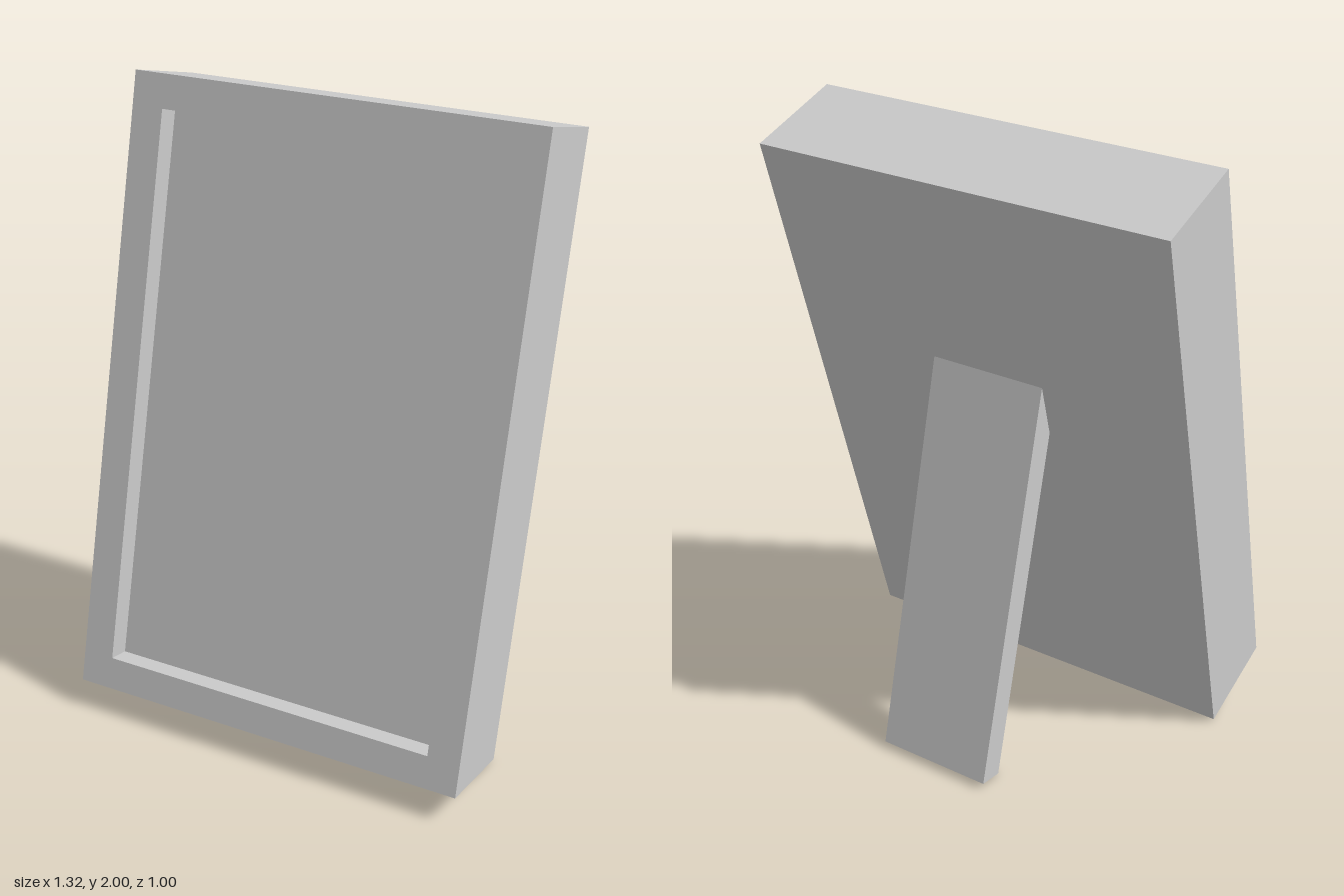
import * as THREE from 'three';

const TILT = THREE.MathUtils.degToRad(15);
const WIDTH = 1.32, HEIGHT = 1.972, DEPTH = 0.333;
const BORDER = 0.104, RECESS = 0.076;

// Four corners of a rectangle inset from the frame outline, counter-clockwise from the front
function ring(inset, z) {
  const x = WIDTH / 2 - inset;
  const y0 = inset, y1 = HEIGHT - inset;
  return [[-x, y0, z], [x, y0, z], [x, y1, z], [-x, y1, z]];
}

// Slab with a recessed front, skinned over successive rectangles
function frameGeometry() {
  const rings = [ring(0, -DEPTH), ring(0, 0), ring(BORDER, 0), ring(BORDER, -RECESS)];
  const positions = [];
  const quad = (a, b, c, d) => positions.push(...a, ...b, ...c, ...a, ...c, ...d);
  for (let i = 0; i < rings.length - 1; i++) {
    for (let k = 0; k < 4; k++) {
      const n = (k + 1) % 4;
      quad(rings[i][k], rings[i][n], rings[i + 1][n], rings[i + 1][k]);
    }
  }
  quad(...[...rings[0]].reverse()); // back face
  quad(...rings[3]); // picture panel
  const geometry = new THREE.BufferGeometry();
  geometry.setAttribute('position', new THREE.Float32BufferAttribute(positions, 3));
  geometry.computeVertexNormals();
  return geometry;
}

export function createModel() {
  const model = new THREE.Group();
  model.name = 'pictureFrame';
  const material = new THREE.MeshStandardMaterial({ color: 0xcccccc, flatShading: true });

  // Frame leaning back, placed by its lower front edge
  const frame = new THREE.Mesh(frameGeometry(), material);
  frame.name = 'frame';
  frame.position.set(0, 0.095, 0.5);
  frame.rotation.x = -TILT;
  model.add(frame);

  // Support leg leaning forward, its top end sunk into the frame's back
  const legLength = 1.31, legThickness = 0.09;
  const legGeometry = new THREE.BoxGeometry(0.378, legLength, legThickness);
  legGeometry.translate(0, legLength / 2, -legThickness / 2);
  const leg = new THREE.Mesh(legGeometry, material);
  leg.name = 'supportLeg';
  leg.position.set(0, 0, -0.413);
  leg.rotation.x = TILT;
  model.add(leg);

  return model;
}
